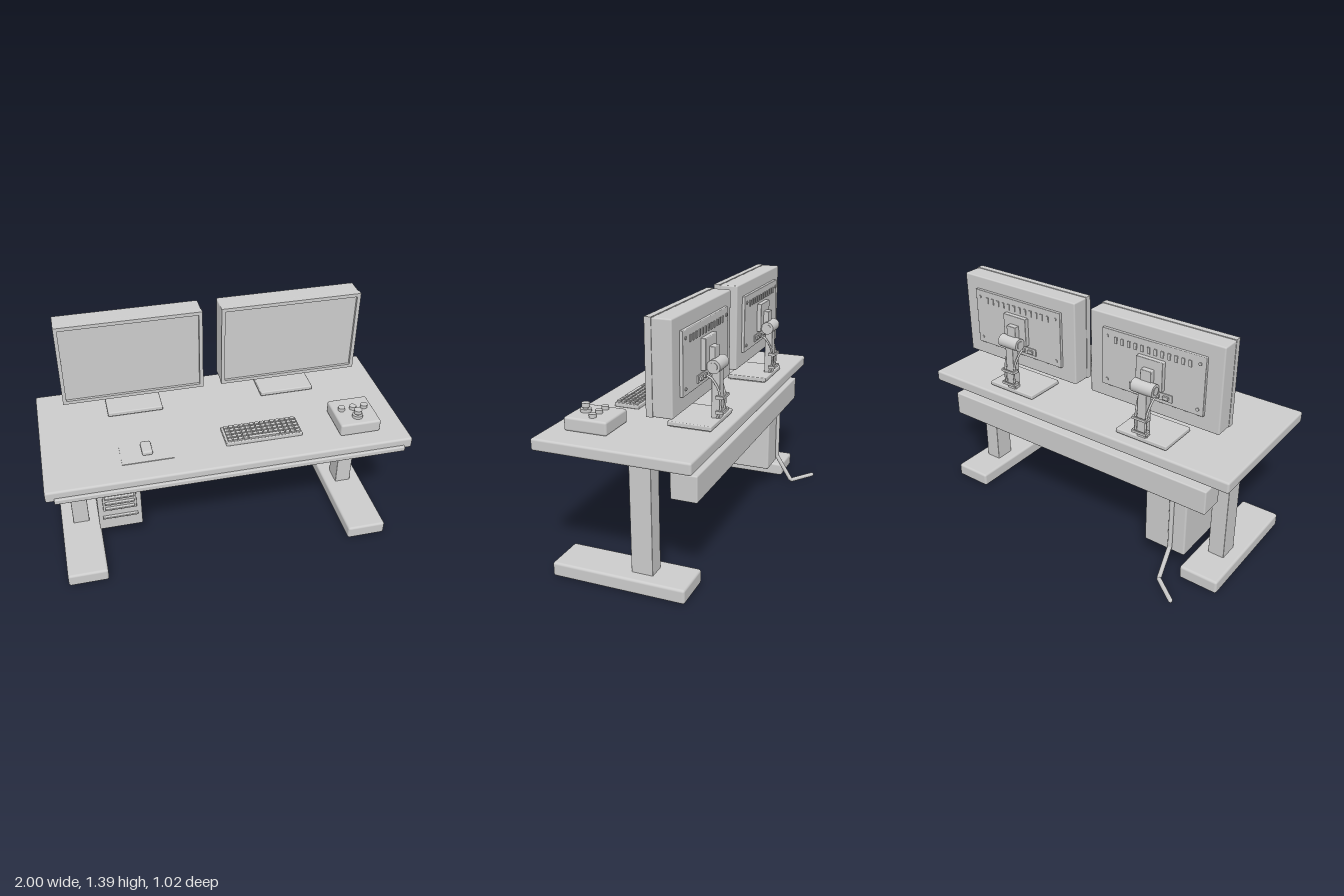
import * as THREE from 'three';
import { RoundedBoxGeometry } from 'three/addons/geometries/RoundedBoxGeometry.js';

const grey = new THREE.MeshStandardMaterial({ color: 0xcccccc });
grey.name = 'light grey';

function add(parent, name, geometry, x = 0, y = 0, z = 0) {
  const mesh = new THREE.Mesh(geometry, grey);
  mesh.name = name;
  mesh.position.set(x, y, z);
  parent.add(mesh);
  return mesh;
}

// Box given by its limits on each axis; r rounds the edges
function box(parent, name, x0, x1, y0, y1, z0, z1, r = 0) {
  const w = x1 - x0, h = y1 - y0, d = z1 - z0;
  const g = r ? new RoundedBoxGeometry(w, h, d, 2, r) : new THREE.BoxGeometry(w, h, d);
  return add(parent, name, g, (x0 + x1) / 2, (y0 + y1) / 2, (z0 + z1) / 2);
}

// Upright cylinder between two heights
function knob(parent, name, r, y0, y1, x, z) {
  return add(parent, name, new THREE.CylinderGeometry(r, r, y1 - y0, 24), x, (y0 + y1) / 2, z);
}

function group(parent, name) {
  const g = new THREE.Group();
  g.name = name;
  parent.add(g);
  return g;
}

const points = (list) => list.map((p) => new THREE.Vector3(...p));

function createDesk(root) {
  const desk = group(root, 'desk');
  box(desk, 'tabletop', -1, 1, 0.718, 0.783, -0.362, 0.49, 0.012);
  box(desk, 'frontLip', -0.955, 0.955, 0.712, 0.742, 0.47, 0.506, 0.006);
  box(desk, 'cableTray', -0.87, 0.87, 0.52, 0.663, -0.34, -0.197, 0.008);
  for (const s of [-1, 1]) {
    const leg = group(desk, s > 0 ? 'leftLeg' : 'rightLeg');
    box(leg, 'column', s * 0.8375 - 0.048, s * 0.8375 + 0.048, 0.07, 0.725, -0.105, 0.014, 0.004);
    box(leg, 'foot', s * 0.84 - 0.115, s * 0.84 + 0.115, 0.006, 0.086, -0.305, 0.437, 0.014);
  }
}

function createMonitor(root, cx, name) {
  const m = group(root, name);
  m.position.x = cx;

  // Casing, bezel and recessed screen
  box(m, 'casing', -0.395, 0.395, 0.917, 1.398, -0.203, -0.098, 0.008);
  const outline = new THREE.Shape(points([[-0.395, 0.915, 0], [0.395, 0.915, 0], [0.395, 1.4, 0], [-0.395, 1.4, 0]]));
  outline.holes.push(new THREE.Path(points([[-0.375, 0.935, 0], [-0.375, 1.38, 0], [0.375, 1.38, 0], [0.375, 0.935, 0]])));
  add(m, 'bezel', new THREE.ExtrudeGeometry(outline, { depth: 0.035, bevelEnabled: false }), 0, 0, -0.1);
  box(m, 'screen', -0.376, 0.376, 0.934, 1.381, -0.1, -0.08);

  // Rear panel with vents and screws
  box(m, 'rearPanel', -0.307, 0.307, 1.0, 1.325, -0.22, -0.2, 0.004);
  for (let i = 0; i < 12; i++) {
    const x = -0.22 + i * 0.04;
    box(m, 'ventSlot', x - 0.008, x + 0.008, 1.255, 1.29, -0.225, -0.218);
  }
  for (const x of [-0.275, 0.275]) for (const y of [1.035, 1.285]) {
    add(m, 'screw', new THREE.CylinderGeometry(0.009, 0.009, 0.008, 12), x, y, -0.221).rotation.x = Math.PI / 2;
  }

  // Sockets and plugs under the mount
  box(m, 'socketStrip', -0.13, 0.13, 1.022, 1.062, -0.226, -0.218);
  for (const x of [-0.095, -0.04, 0.04, 0.095]) {
    box(m, 'plug', x - 0.017, x + 0.017, 1.032, 1.052, -0.237, -0.222, 0.003);
  }

  // Mount, hinge, column and base
  box(m, 'mountPlate', -0.08, 0.08, 1.075, 1.24, -0.246, -0.218, 0.004);
  box(m, 'mountBlock', -0.032, 0.032, 1.08, 1.19, -0.277, -0.244, 0.004);
  add(m, 'hinge', new THREE.CylinderGeometry(0.036, 0.036, 0.13, 32), 0, 1.095, -0.28).rotation.z = Math.PI / 2;
  add(m, 'hingePin', new THREE.CylinderGeometry(0.022, 0.022, 0.138, 24), 0, 1.095, -0.28).rotation.z = Math.PI / 2;
  box(m, 'standColumn', -0.027, 0.027, 0.81, 1.085, -0.302, -0.256, 0.004);
  box(m, 'standBase', -0.157, 0.157, 0.788, 0.814, -0.306, -0.066, 0.006);
  box(m, 'basePad', -0.145, 0.145, 0.78, 0.79, -0.296, -0.076);

  // Cables with two clips on the column
  for (const y of [0.85, 0.93]) {
    box(m, 'cableClip', -0.045, 0.045, y - 0.008, y + 0.008, -0.328, -0.318, 0.003);
    for (const x of [-0.04, 0.04]) box(m, 'clipSide', x - 0.005, x + 0.005, y - 0.008, y + 0.008, -0.32, -0.285);
    box(m, 'clipBar', -0.04, 0.04, y - 0.008, y + 0.008, -0.3, -0.285);
  }
  for (const s of [-1, 1]) {
    const path = new THREE.CatmullRomCurve3(points([
      [s * 0.04, 1.042, -0.232], [s * 0.042, 1.03, -0.26], [s * 0.036, 0.98, -0.293],
      [s * 0.032, 0.92, -0.308], [s * 0.032, 0.86, -0.306], [s * 0.025, 0.81, -0.285],
    ]));
    add(m, 'cable', new THREE.TubeGeometry(path, 32, 0.006, 8));
    knob(m, 'trayCable', 0.005, 0.655, 0.725, s * 0.011, -0.222);
  }
}

function createTower(root) {
  const t = group(root, 'computerTower');
  box(t, 'case', -0.735, -0.48, 0.146, 0.628, -0.282, 0.167, 0.01);
  box(t, 'ventPanel', -0.705, -0.51, 0.3, 0.55, 0.16, 0.18, 0.003);
  for (const y of [0.325, 0.365, 0.405, 0.445, 0.485, 0.525]) {
    box(t, 'ventBar', -0.693, -0.522, y - 0.006, y + 0.006, 0.178, 0.2, 0.004);
  }
  for (const y of [0.247, 0.582]) box(t, 'trimBar', -0.71, -0.505, y - 0.006, y + 0.006, 0.16, 0.186, 0.004);

  // Power cable down to the floor
  const path = new THREE.CurvePath();
  const p = points([[-0.65, 0.56, -0.291], [-0.65, 0.18, -0.291], [-0.65, 0.021, -0.392], [-0.79, 0.021, -0.497]]);
  for (let i = 0; i < 3; i++) path.add(new THREE.LineCurve3(p[i], p[i + 1]));
  add(t, 'powerCable', new THREE.TubeGeometry(path, 60, 0.013, 10));
  const end = add(t, 'cableEnd', new THREE.SphereGeometry(0.013, 10, 8));
  end.position.copy(p[3]);
}

function createKeyboard(root) {
  const k = group(root, 'keyboard');
  box(k, 'keyboardBody', -0.014, 0.416, 0.782, 0.805, 0.184, 0.331, 0.005);
  const pitch = 0.0295;
  for (let row = 0; row < 5; row++) {
    const z = 0.203 + row * 0.0272;
    for (let col = 0; col < 14; col++) {
      if (row === 4 && col > 3 && col < 10) continue;
      const x = 0.0095 + col * pitch;
      box(k, 'key', x - 0.0115, x + 0.0115, 0.802, 0.815, z - 0.0095, z + 0.0095);
    }
  }
  box(k, 'spaceBar', 0.116, 0.287, 0.802, 0.815, 0.302, 0.322);
}

function createControlBox(root) {
  const c = group(root, 'controlBox');
  box(c, 'controlBody', 0.616, 0.846, 0.783, 0.857, 0.15, 0.39, 0.012);
  for (const x of [0.664, 0.73, 0.796]) knob(c, 'button', 0.019, 0.85, 0.876, x, 0.25);
  knob(c, 'stickBase', 0.029, 0.85, 0.874, 0.73, 0.325);
  knob(c, 'stickNeck', 0.014, 0.87, 0.885, 0.73, 0.325);
  knob(c, 'stickCap', 0.022, 0.882, 0.904, 0.73, 0.325);
}

export function createModel() {
  const root = new THREE.Group();
  root.name = 'computerDesk';
  createDesk(root);
  createMonitor(root, -0.45, 'rightMonitor');
  createMonitor(root, 0.445, 'leftMonitor');
  createTower(root);
  createKeyboard(root);
  createControlBox(root);

  // Mouse on its mat
  box(root, 'mouseMat', -0.585, -0.305, 0.78, 0.787, 0.165, 0.36);
  box(root, 'mouse', -0.47, -0.413, 0.785, 0.812, 0.215, 0.313, 0.01);
  return root;
}
